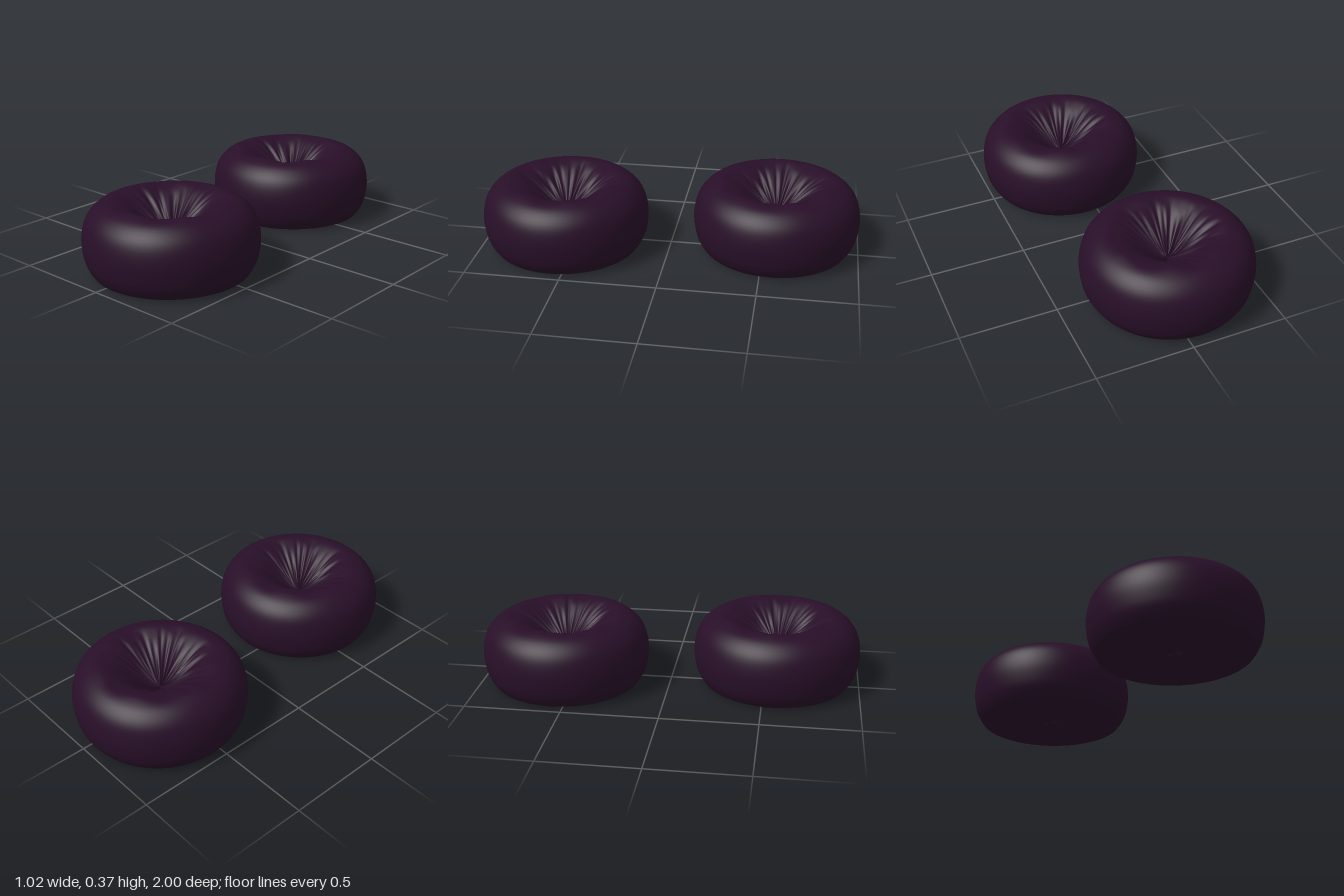
import * as THREE from 'three';
import { mergeVertices } from 'three/addons/utils/BufferGeometryUtils.js';

// Small seeded generator for the irregular folds
function seeded(seed) {
  return () => (seed = (seed * 16807) % 2147483647) / 2147483647;
}

// Radial folds: each has an angle, an angular width, a reach and a depth
function makeFolds(count, reachMin, reachMax, depth, seed) {
  const rnd = seeded(seed);
  return Array.from({ length: count }, (_, i) => ({
    angle: ((i + rnd() * 0.8) / count) * Math.PI * 2,
    width: 0.035 + rnd() * 0.04,
    reach: reachMin + rnd() * (reachMax - reachMin),
    depth: depth * (0.4 + 0.6 * rnd()),
  }));
}

function foldDepth(folds, r, angle) {
  let sum = 0;
  for (const f of folds) {
    if (r >= f.reach) continue;
    const d = Math.atan2(Math.sin(angle - f.angle), Math.cos(angle - f.angle));
    const t = r / f.reach;
    sum += f.depth * Math.exp(-((d / f.width) ** 2)) * Math.sin(Math.PI * Math.sqrt(t));
  }
  return sum;
}

// Lathe a profile, then shift its vertices vertically by a rule
function foldedLathe(points, segments, shift) {
  const geo = new THREE.LatheGeometry(points, segments);
  geo.deleteAttribute('uv');
  geo.deleteAttribute('normal');
  const merged = mergeVertices(geo, 1e-4);
  const p = merged.attributes.position;
  for (let i = 0; i < p.count; i++) {
    const r = Math.hypot(p.getX(i), p.getZ(i));
    p.setY(i, p.getY(i) + shift(r, p.getY(i), Math.atan2(p.getX(i), p.getZ(i))));
  }
  merged.computeVertexNormals();
  return merged;
}

export function createModel() {
  const model = new THREE.Group();
  model.name = 'beanBags';
  const fabric = new THREE.MeshStandardMaterial({ color: 0x280f28 });
  fabric.name = 'dark plum fabric';

  // Bulging side that rolls over a rim into a deep gathered dimple
  const profile = [
    [0.39, 0.01], [0.413, 0.045], [0.43, 0.09], [0.44, 0.17], [0.43, 0.245], [0.405, 0.3],
    [0.36, 0.343], [0.31, 0.363], [0.27, 0.362], [0.22, 0.345], [0.17, 0.316],
    [0.12, 0.277], [0.07, 0.235], [0.03, 0.205], [0, 0.195],
  ].map(([r, y]) => new THREE.Vector2(r, y));
  const curve = new THREE.SplineCurve(profile).getPoints(48);
  curve[curve.length - 1].x = 0;
  const topFolds = makeFolds(34, 0.2, 0.32, 0.028, 7);
  const bodyGeo = foldedLathe(curve, 160, (r, y, a) => {
    if (y < 0.19 || r > 0.34) return 0;
    const rimWave = 0.005 * Math.sin(7 * a + 1) * Math.exp(-(((r - 0.27) / 0.04) ** 2));
    return rimWave - foldDepth(topFolds, r, a);
  });

  // Flat underside with a few shallow creases near the middle
  const base = Array.from({ length: 21 }, (_, i) => new THREE.Vector2((0.39 * i) / 20, 0.01));
  const baseFolds = makeFolds(13, 0.1, 0.22, 0.009, 23);
  const baseGeo = foldedLathe(base, 160, (r, y, a) => -Math.min(0.01, foldDepth(baseFolds, r, a)));

  for (const [name, x, z] of [['frontBeanBag', 0.068, 0.558], ['backBeanBag', -0.068, -0.558]]) {
    const bag = new THREE.Group();
    bag.name = name;
    const body = new THREE.Mesh(bodyGeo, fabric);
    body.name = 'cushionBody';
    const underside = new THREE.Mesh(baseGeo, fabric);
    underside.name = 'underside';
    bag.add(body, underside);
    bag.position.set(x, 0, z);
    model.add(bag);
  }
  return model;
}
